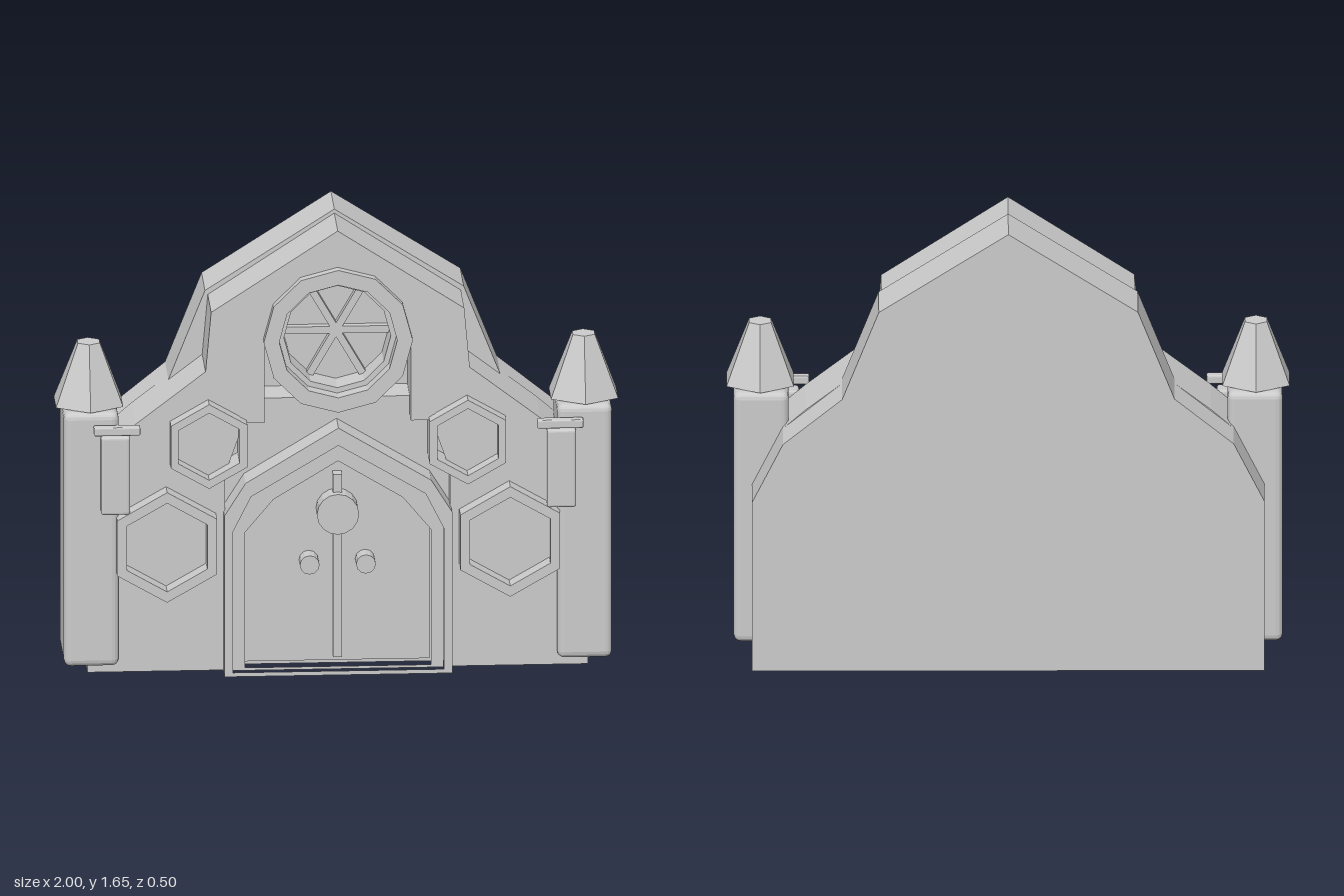
import * as THREE from 'three';
import { RoundedBoxGeometry } from 'three/addons/geometries/RoundedBoxGeometry.js';

export function createModel() {
  const model = new THREE.Group();
  const mat = new THREE.MeshStandardMaterial({ color: 0xcccccc, flatShading: true });

  const add = (name, geometry, x = 0, y = 0, z = 0) => {
    const mesh = new THREE.Mesh(geometry, mat);
    mesh.name = name;
    mesh.position.set(x, y, z);
    model.add(mesh);
    return mesh;
  };
  const vecs = pts => pts.map(([x, y]) => new THREE.Vector2(x, y));
  // right half of an outline, top to bottom, mirrored into a closed loop
  const mirror = half => [...half, ...half.filter(p => p[0] !== 0).reverse().map(([x, y]) => [-x, y])];
  const polygon = (n, r, cx = 0, cy = 0) => Array.from({ length: n }, (_, i) => {
    const a = Math.PI / 2 + i * 2 * Math.PI / n;
    return [cx + r * Math.cos(a), cy + r * Math.sin(a)];
  });
  // prism between two depths, with an optional hole
  const prism = (pts, z0, z1, hole) => {
    const shape = new THREE.Shape(vecs(pts));
    if (hole) shape.holes.push(new THREE.Path(vecs(hole)));
    return new THREE.ExtrudeGeometry(shape, { depth: z1 - z0, bevelEnabled: false }).translate(0, 0, z0);
  };
  const box = (w, h, d) => new THREE.BoxGeometry(w, h, d);
  const disc = (r, d, n) => new THREE.CylinderGeometry(r, r, d, n).rotateX(Math.PI / 2);

  // rear slab
  add('rearWall', prism(mirror([[0, 1.655], [0.46, 1.36], [0.59, 1.03], [0.8, 0.86], [0.91, 0.64], [0.91, 0]]), -0.25, -0.04));

  // recessed wall in the middle
  add('centreWall', prism(mirror([[0.42, 1.0], [0.42, 0.01]]), -0.05, 0.1));

  // gable hood, open around the round window
  const arch = polygon(12, 0.26, 0, 1.24).filter(p => p[1] > 1.25);
  const archRight = arch.filter(p => p[0] > 0.001).sort((a, b) => b[0] - a[0]);
  const hood = [[0, 1.64], [0.45, 1.345], [0.47, 1.12], [0.33, 0.93], [0.26, 0.93], [0.26, 1.24], ...archRight];
  add('gableHood', prism([...hood, [0, 1.5], ...hood.slice(1).reverse().map(([x, y]) => [-x, y])], -0.04, 0.17));

  // round window: tube, inner rim, pane and spokes
  const ring = r => polygon(12, r, 0, 1.24);
  add('roseWindowFrame', prism(ring(0.265), -0.04, 0.207, ring(0.21)));
  add('roseWindowRim', prism(ring(0.212), -0.04, 0.15, ring(0.19)));
  add('roseWindowPane', prism(ring(0.2), -0.04, 0.04));
  for (let i = 0; i < 3; i++) {
    const spoke = add('roseWindowSpoke', box(0.39, 0.026, 0.03), 0, 1.24, 0.055);
    spoke.rotation.z = i * Math.PI / 3;
  }

  // porch and door surround
  const porch = mirror([[0, 0.92], [0.33, 0.72], [0.405, 0.6], [0.405, 0]]);
  const frame = mirror([[0, 0.855], [0.31, 0.67], [0.375, 0.54], [0.375, 0.015]]);
  const opening = mirror([[0, 0.79], [0.23, 0.65], [0.33, 0.53], [0.33, 0.025]]);
  add('porch', prism(porch, -0.04, 0.215, frame));
  add('doorFrame', prism(frame, 0, 0.19, opening));
  add('door', prism(opening, 0, 0.115));
  add('doorBar', box(0.032, 0.68, 0.05), 0, 0.39, 0.135);
  add('doorMedallion', disc(0.075, 0.08, 16), 0, 0.59, 0.15);

  for (const s of [1, -1]) {
    add('doorKnob', disc(0.035, 0.07, 12), s * 0.1, 0.4, 0.145);

    // side wall with sloping shoulder
    let side = [[0.4, 0.01], [0.89, 0.01], [0.89, 0.64], [0.8, 0.86], [0.72, 0.93], [0.46, 1.13], [0.33, 0.94], [0.4, 0.74]];
    if (s < 0) side = side.map(([x, y]) => [-x, y]).reverse();
    add('sideWall', prism(side, -0.09, 0.165));

    // hexagonal window frames
    add('upperHexWindow', prism(polygon(6, 0.157, s * 0.46, 0.862), 0.1, 0.225, polygon(6, 0.125, s * 0.46, 0.862)));
    add('lowerHexWindow', prism(polygon(6, 0.205, s * 0.61, 0.492), 0.1, 0.235, polygon(6, 0.165, s * 0.61, 0.492)));

    // tower with spire, hanging plaque and ledge
    add('tower', new RoundedBoxGeometry(0.195, 0.945, 0.275, 2, 0.025), s * 0.877, 0.513, 0.065);
    add('towerSpire', new THREE.CylinderGeometry(0.045, 0.138, 0.225, 6), s * 0.88, 1.1, 0.065);
    add('plaque', new RoundedBoxGeometry(0.103, 0.29, 0.07, 2, 0.01), s * 0.793, 0.76, 0.2);
    add('plaqueLedge', new RoundedBoxGeometry(0.165, 0.032, 0.036, 2, 0.006), s * 0.788, 0.929, 0.227);
  }
  return model;
}
